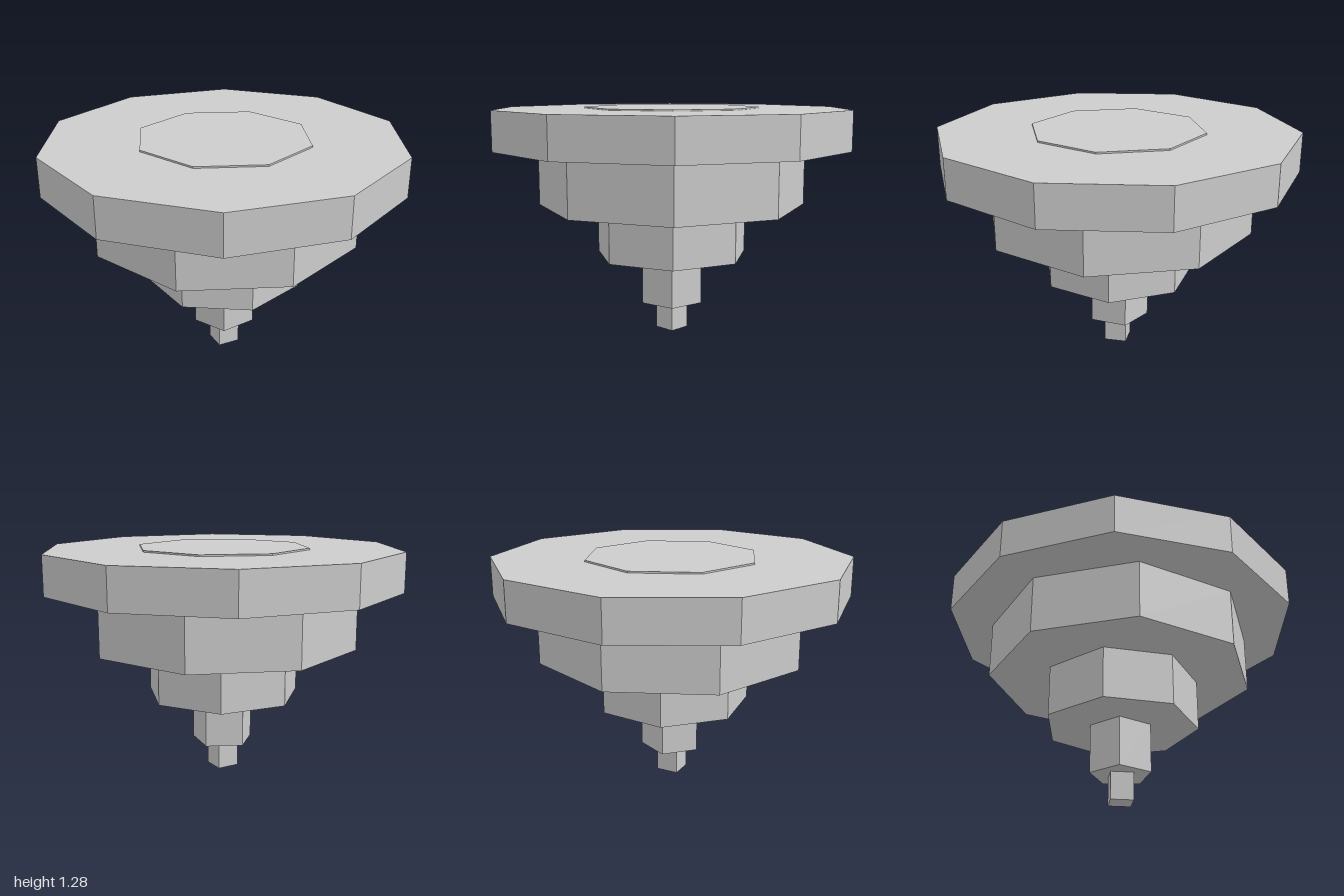
import * as THREE from 'three';

export function createModel() {
  const model = new THREE.Group();
  model.name = 'steppedTop';
  const grey = new THREE.MeshStandardMaterial({ color: 0xcccccc });
  grey.name = 'light grey';
  grey.flatShading = true;

  // Stacked prisms, each with its first corner on +x
  const tiers = [
    { name: 'tip', sides: 4, radius: 0.09, from: 0, to: 0.157 },
    { name: 'lowerTier', sides: 5, radius: 0.177, from: 0.157, to: 0.436 },
    { name: 'middleTier', sides: 7, radius: 0.44, from: 0.436, to: 0.726 },
    { name: 'upperTier', sides: 8, radius: 0.755, from: 0.726, to: 1.05 },
    { name: 'rim', sides: 10, radius: 1, from: 1.05, to: 1.27 },
    { name: 'topPlate', sides: 8, radius: 0.488, from: 1.27, to: 1.279 },
  ];

  for (const { name, sides, radius, from, to } of tiers) {
    const prism = new THREE.CylinderGeometry(radius, radius, to - from, sides, 1, false, Math.PI / 2);
    const mesh = new THREE.Mesh(prism, grey);
    mesh.name = name;
    mesh.position.y = (from + to) / 2;
    model.add(mesh);
  }
  return model;
}
